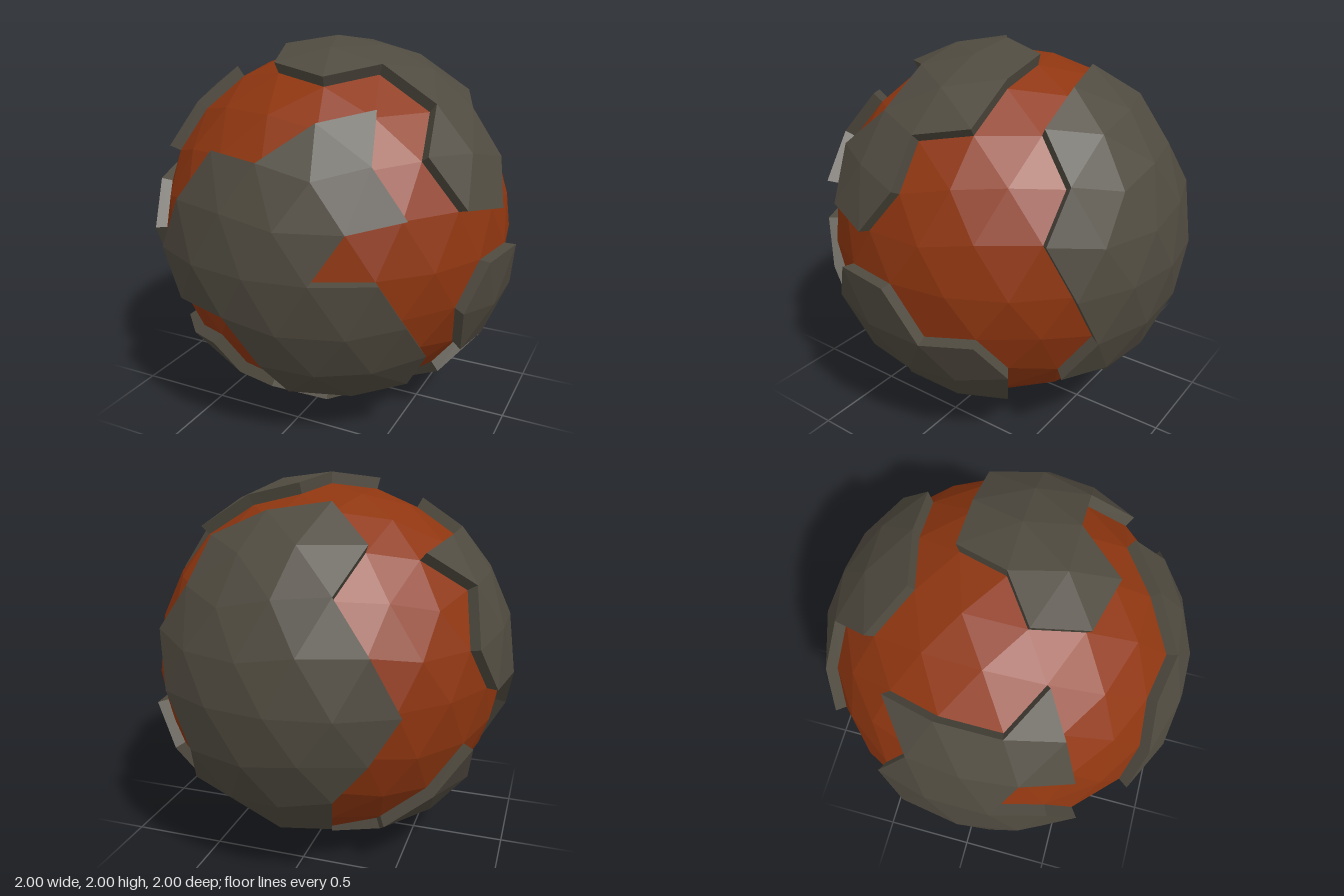
import * as THREE from 'three';

const CORE_RADIUS = 0.94;
const PLATE_RADIUS = 1;

// Unit icosphere with a vertex at each pole, split twice: shared points and triangles
function icosphere(splits) {
  const points = [new THREE.Vector3(0, 1, 0), new THREE.Vector3(0, -1, 0)];
  const h = 1 / Math.sqrt(5);
  for (let i = 0; i < 5; i++) {
    for (const side of [1, -1]) {
      const a = (i * 72 + (side < 0 ? 36 : 0)) * Math.PI / 180;
      points.push(new THREE.Vector3(2 * h * Math.cos(a), side * h, 2 * h * Math.sin(a)));
    }
  }
  let faces = [];
  for (let i = 0; i < 5; i++) {
    const j = (i + 1) % 5;
    const u = 2 + 2 * i, l = u + 1, u2 = 2 + 2 * j, l2 = u2 + 1;
    faces.push([0, u2, u], [u, u2, l], [u2, l2, l], [1, l, l2]);
  }
  for (let s = 0; s < splits; s++) {
    const cache = new Map();
    const mid = (a, b) => {
      const key = Math.min(a, b) + '_' + Math.max(a, b);
      if (!cache.has(key)) {
        points.push(points[a].clone().add(points[b]).normalize());
        cache.set(key, points.length - 1);
      }
      return cache.get(key);
    };
    faces = faces.flatMap(([a, b, c]) => {
      const ab = mid(a, b), bc = mid(b, c), ca = mid(c, a);
      return [[a, ab, ca], [ab, b, bc], [ca, bc, c], [ab, bc, ca]];
    });
  }
  // Make every triangle face outward
  faces = faces.map(([a, b, c]) => {
    const n = points[b].clone().sub(points[a]).cross(points[c].clone().sub(points[a]));
    return n.dot(points[a]) > 0 ? [a, b, c] : [a, c, b];
  });
  return { points, faces };
}

function flatMesh(name, corners, material) {
  const geometry = new THREE.BufferGeometry().setFromPoints(corners);
  geometry.computeVertexNormals();
  const mesh = new THREE.Mesh(geometry, material);
  mesh.name = name;
  return mesh;
}

// Triangles of the sphere whose centre lies inside an outline of sphere points
function facesInside({ points, faces }, outline) {
  const snapped = outline.map(([x, y, z]) => {
    const p = new THREE.Vector3(x, y, z);
    return points.reduce((best, q) => (q.distanceTo(p) < best.distanceTo(p) ? q : best));
  });
  const centre = new THREE.Vector3();
  snapped.forEach((p) => centre.add(p));
  centre.normalize();
  const u = new THREE.Vector3(0.31, 0.52, 0.79).cross(centre).normalize();
  const v = centre.clone().cross(u);
  const flat = (p) => [p.dot(u) / p.dot(centre), p.dot(v) / p.dot(centre)];
  const polygon = snapped.map(flat);
  return faces.filter((f) => {
    const c = new THREE.Vector3();
    f.forEach((i) => c.add(points[i]));
    c.normalize();
    if (c.dot(centre) < 0.1) return false;
    const [x, y] = flat(c);
    let inside = false;
    polygon.forEach(([x1, y1], i) => {
      const [x2, y2] = polygon[(i + 1) % polygon.length];
      if ((y1 > y) !== (y2 > y) && x < x1 + (x2 - x1) * (y - y1) / (y2 - y1)) inside = !inside;
    });
    return inside;
  });
}

// Raised crust plate: outer skin plus a wall along every border edge
function crustPlate(name, sphere, outline, material) {
  const chosen = facesInside(sphere, outline);
  const at = (i, r) => sphere.points[i].clone().multiplyScalar(r);
  const edges = new Set();
  const eachEdge = (fn) => chosen.forEach((f) => f.forEach((a, k) => fn(a, f[(k + 1) % 3])));
  eachEdge((a, b) => edges.add(a + '_' + b));
  const corners = chosen.flatMap((f) => f.map((i) => at(i, PLATE_RADIUS)));
  const low = CORE_RADIUS - 0.01;
  eachEdge((a, b) => {
    if (edges.has(b + '_' + a)) return;
    corners.push(at(a, low), at(b, low), at(b, PLATE_RADIUS));
    corners.push(at(a, low), at(b, PLATE_RADIUS), at(a, PLATE_RADIUS));
  });
  return flatMesh(name, corners, material);
}

export function createModel() {
  const group = new THREE.Group();
  group.name = 'crackedPlanet';
  const lava = new THREE.MeshStandardMaterial({ color: 0x8f3610, flatShading: true });
  const rock = new THREE.MeshStandardMaterial({ color: 0x504b40, flatShading: true });
  const sphere = icosphere(2);

  const body = new THREE.Group();
  body.name = 'planet';
  body.position.y = 1;
  group.add(body);

  // Glowing core
  const coreCorners = sphere.faces.flatMap((f) =>
    f.map((i) => sphere.points[i].clone().multiplyScalar(CORE_RADIUS)));
  body.add(flatMesh('core', coreCorners, lava));

  const plate = (name, outline) => body.add(crustPlate(name, sphere, outline, rock));

  // Crust plates, each given by the corners of its outline
  plate('topPlate', [
    [-0.22, 0.96, 0.16], [-0.14, 0.9, 0.42], [0.16, 0.85, 0.5], [0.36, 0.89, 0.26],
    [0.64, 0.72, 0.26], [0.69, 0.53, 0.5], [0.86, 0.28, 0.42], [0.96, 0.23, 0.16],
    [0.89, 0.45, 0], [0.74, 0.68, 0], [0.64, 0.72, -0.26], [0.36, 0.89, -0.26],
    [0.08, 0.96, -0.26], [0, 1, 0],
  ]);
  plate('frontPlate', [
    [-0.59, 0, 0.81], [-0.45, 0.28, 0.85], [-0.26, 0.53, 0.81], [0.01, 0.51, 0.86],
    [0.23, 0.68, 0.7], [0.45, 0.72, 0.53], [0.5, 0.51, 0.7], [0.67, 0.28, 0.69],
    [0.45, 0.23, 0.86], [0.31, 0, 0.95], [0.59, 0, 0.81], [0.68, -0.23, 0.69],
    [0.72, -0.45, 0.53], [0.6, -0.68, 0.43], [0.36, -0.72, 0.59], [0.05, -0.72, 0.69],
    [0, -0.51, 0.86], [-0.14, -0.23, 0.96], [-0.45, -0.23, 0.86],
  ]);
  plate('lowerPlate', [
    [-0.28, -0.45, 0.85], [-0.23, -0.68, 0.7], [-0.16, -0.85, 0.5], [0.14, -0.9, 0.42],
    [0.22, -0.96, 0.16], [0, -1, 0], [-0.08, -0.96, -0.26], [-0.36, -0.9, -0.26],
    [-0.45, -0.72, -0.53], [-0.69, -0.53, -0.5], [-0.86, -0.28, -0.42], [-0.82, -0.51, -0.27],
    [-0.74, -0.68, 0], [-0.64, -0.72, 0.26], [-0.69, -0.53, 0.5],
  ]);
  plate('leftSidePlate', [
    [0.86, -0.23, 0.43], [0.95, 0, 0.31], [1, 0, 0], [0.95, -0.28, -0.16],
    [0.86, -0.23, -0.43], [0.72, -0.45, -0.53], [0.6, -0.68, -0.43], [0.42, -0.85, -0.31],
    [0.22, -0.96, -0.16], [0.45, -0.89, 0], [0.67, -0.72, 0.16], [0.85, -0.53, 0],
    [0.82, -0.51, 0.27],
  ]);
  plate('rightSidePlate', [
    [-0.43, 0.85, 0.31], [-0.6, 0.68, 0.43], [-0.72, 0.45, 0.53], [-0.82, 0.51, 0.27],
    [-0.95, 0.28, 0.16], [-0.86, 0.23, 0.43], [-0.81, 0, 0.59], [-0.86, -0.28, 0.42],
    [-0.82, -0.51, 0.27], [-0.96, -0.23, 0.16], [-1, 0, 0], [-0.95, 0, -0.31],
    [-0.86, 0.23, -0.43], [-0.82, 0.51, -0.27], [-0.6, 0.68, -0.43], [-0.67, 0.72, -0.16],
    [-0.67, 0.72, 0.16],
  ]);
  plate('backPlate', [
    [-0.14, 0.9, -0.42], [0.16, 0.85, -0.5], [0.45, 0.72, -0.53], [0.5, 0.51, -0.7],
    [0.67, 0.28, -0.69], [0.59, 0, -0.81], [0.45, -0.28, -0.85], [0.5, -0.51, -0.7],
    [0.26, -0.53, -0.81], [0.05, -0.72, -0.69], [-0.23, -0.68, -0.7], [-0.28, -0.45, -0.85],
    [-0.45, -0.23, -0.86], [-0.59, 0, -0.81], [-0.45, 0.28, -0.85], [-0.26, 0.53, -0.81],
    [-0.36, 0.72, -0.59],
  ]);
  return group;
}
